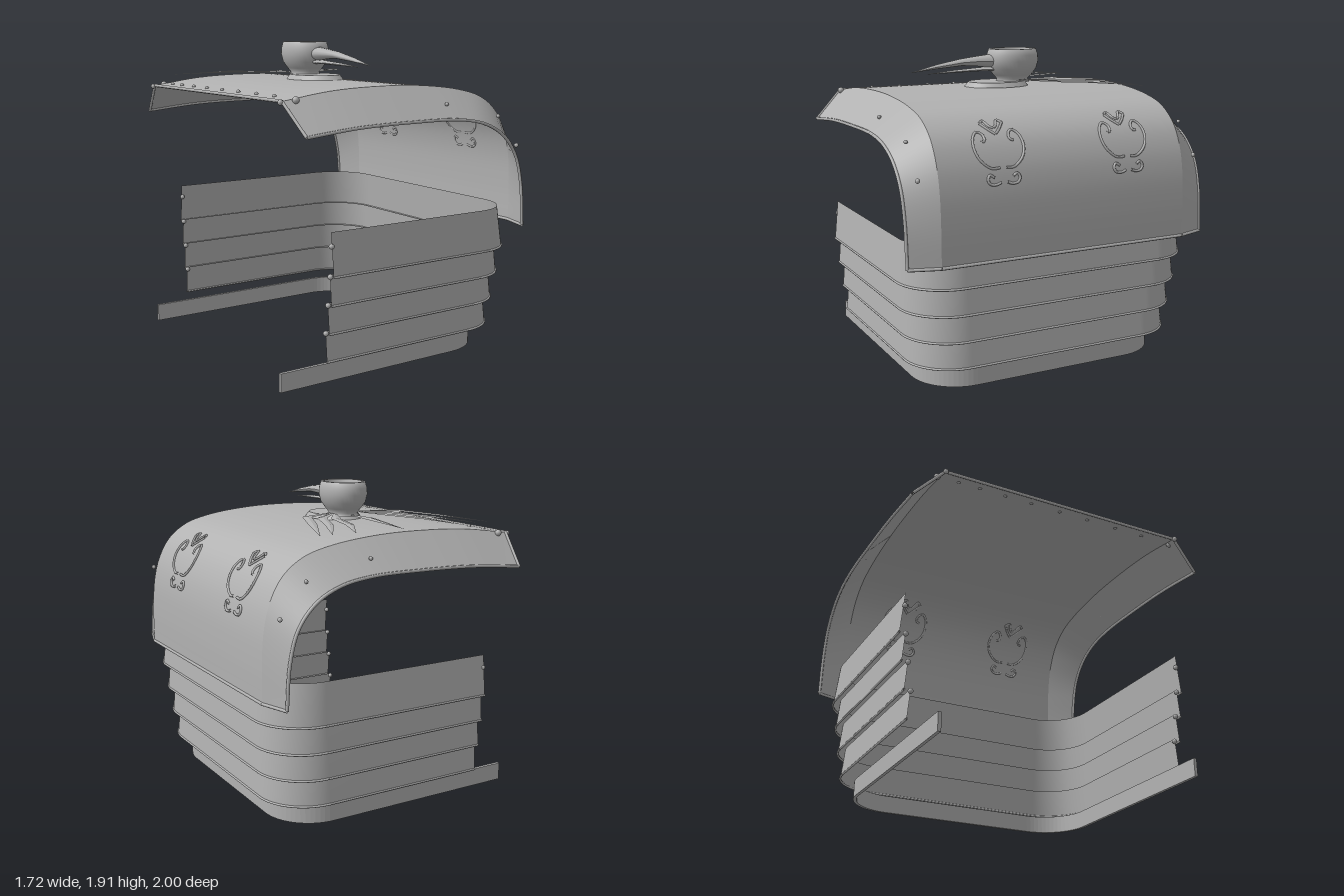
import * as THREE from 'three';

const V = (x, y, z) => new THREE.Vector3(x, y, z);
const steel = new THREE.MeshStandardMaterial({ color: 0xb2b2b2, side: THREE.DoubleSide });
steel.name = 'steel grey';

function add(parent, geometry, name) {
  const m = new THREE.Mesh(geometry, steel);
  m.name = name;
  parent.add(m);
  return m;
}

// Surface through rows of points, all rows the same length
function loft(rows) {
  const n = rows[0].length, index = [];
  for (let i = 0; i < rows.length - 1; i++)
    for (let j = 0; j < n - 1; j++) {
      const a = i * n + j, b = a + n;
      index.push(a, b, a + 1, b, b + 1, a + 1);
    }
  const g = new THREE.BufferGeometry().setFromPoints(rows.flat());
  g.setIndex(index);
  g.computeVertexNormals();
  return g;
}

const tube = (pts, r, seg = 48) =>
  new THREE.TubeGeometry(new THREE.CatmullRomCurve3(pts), seg, r, 6, false);

// Sampled cross-section of the shoulder plate
const section = (pts) =>
  new THREE.CatmullRomCurve3(pts.map(([x, y]) => V(x, y, 0))).getSpacedPoints(60);
const crown = section([[-0.835, 1.615], [-0.52, 1.658], [-0.19, 1.673], [0.11, 1.667], [0.41, 1.632],
  [0.59, 1.58], [0.715, 1.487], [0.79, 1.36], [0.83, 1.21], [0.846, 1.0], [0.846, 0.79]]);
const skirt = section([[-0.795, 1.435], [-0.447, 1.467], [-0.09, 1.477], [0.26, 1.472], [0.46, 1.437],
  [0.61, 1.36], [0.715, 1.234], [0.768, 1.056], [0.79, 0.79]]);
const atZ = (pts, z) => pts.map((p) => V(p.x, p.y, z));

// Height of a section at x, or its x at a height on the outer wall
function lookup(pts, value, key, out) {
  for (let i = pts.length - 1; i > 0; i--) {
    const a = pts[i - 1], b = pts[i];
    if ((a[key] - value) * (b[key] - value) <= 0 && a[key] !== b[key])
      return a[out] + (b[out] - a[out]) * (value - a[key]) / (b[key] - a[key]);
  }
  return pts[0][out];
}

// U-shaped plan with rounded corners, open toward -x
function uPath(x0, x1, z, r, y = 0) {
  const pts = [V(x0, y, z)];
  for (let i = 0; i <= 16; i++) {
    const a = Math.PI / 2 * (1 - i / 16);
    pts.push(V(x1 - r + r * Math.cos(a), y, z - r + r * Math.sin(a)));
  }
  return [...pts, ...pts.slice().reverse().map((p) => V(p.x, y, -p.z))];
}

function rivet(parent, x, y, z, r = 0.012) {
  add(parent, new THREE.SphereGeometry(r, 10, 8), 'rivet').position.set(x, y, z);
}

function shoulderPlate() {
  const g = new THREE.Group();
  g.name = 'shoulderPlate';
  add(g, loft([atZ(crown, -0.81), atZ(crown, 0.81)]), 'plateCrown');
  add(g, loft([atZ(crown, 0.81), atZ(skirt, 0.99)]), 'frontFlange');
  add(g, loft([atZ(skirt, -0.99), atZ(crown, -0.81)]), 'backFlange');
  // Rolled edges
  for (const s of [-1, 1]) {
    add(g, tube(atZ(skirt, s * 0.99), 0.01, 80), 'flangeRim');
    for (const k of [0, 60])
      add(g, tube([V(crown[k].x, crown[k].y, s * 0.81), V(skirt[k].x, skirt[k].y, s * 0.99)], 0.01, 1), 'cornerRim');
  }
  for (const k of [0, 60])
    add(g, tube([V(crown[k].x, crown[k].y, -0.81), V(crown[k].x, crown[k].y, 0.81)], 0.01, 1), 'sideRim');
  // Rivets along the neck edge and on the flanges
  for (const z of [-0.69, -0.55, -0.38, -0.2, 0, 0.2, 0.41, 0.61])
    rivet(g, -0.76, lookup(crown, -0.76, 'x', 'y') + 0.003, z);
  for (const s of [-1, 1]) {
    rivet(g, -0.76, 1.62, s * 0.83, 0.02);
    rivet(g, -0.845, 1.61, s * 0.81, 0.016);
    rivet(g, 0.22, 1.56, s * 0.92);
    rivet(g, 0.63, 1.47, s * 0.92);
    rivet(g, 0.79, 1.28, s * 0.92, 0.014);
  }
  return g;
}

// Scrollwork lying on the outer wall; points are [z offset, y]
function ornament(zc) {
  const g = new THREE.Group();
  g.name = 'scrollOrnament';
  const lines = [
    [[0.02, 1.315], [0.07, 1.315], [0.13, 1.36], [0.155, 1.42], [0.145, 1.48], [0.11, 1.508], [0.08, 1.49], [0.08, 1.46], [0.1, 1.455]],
    [[0.06, 1.265], [0.085, 1.28], [0.1, 1.255], [0.085, 1.23], [0.05, 1.225], [0.02, 1.235]],
    [[0, 1.49], [0.035, 1.515], [0.07, 1.545]],
    [[0.07, 1.545], [0.045, 1.557], [0.02, 1.53], [0, 1.52]],
  ];
  for (const s of [-1, 1])
    for (const line of lines)
      add(g, tube(line.map(([z, y]) => V(lookup(crown, y, 'y', 'x') + 0.003, y, zc + s * z)), 0.008, 28), 'scroll');
  return g;
}

function lames() {
  const g = new THREE.Group();
  g.name = 'armLames';
  for (let i = 0; i < 4; i++) {
    const y0 = 0.145 + i * 0.168, y1 = i === 3 ? 0.9 : y0 + 0.18;
    const x = 0.762 + i * 0.021, z = 0.89 + i * 0.022, lean = i === 3 ? 0.026 : 0.016;
    const bottom = uPath(-0.6, x, z, 0.3, y0);
    add(g, loft([uPath(-0.6, x - lean, z - lean, 0.29, y1), bottom]), 'lame');
    // Rolled lower edge, straight runs kept straight
    add(g, tube(bottom.slice(1, 18), 0.007), 'lameRim');
    add(g, tube(bottom.slice(18, 35), 0.007), 'lameRim');
    for (const k of [0, 17, 34])
      add(g, tube([bottom[k], bottom[k + 1]], 0.007, 1), 'lameRim');
    for (const s of [-1, 1])
      rivet(g, -0.597, i === 3 ? 0.82 : y1 - 0.015, s * (z - lean), 0.016);
  }
  return g;
}

function strap() {
  const outline = [...uPath(-0.86, 0.69, 0.82, 0.3), ...uPath(-0.86, 0.67, 0.8, 0.28).reverse()];
  const shape = new THREE.Shape(outline.map((p) => new THREE.Vector2(p.x, p.z)));
  const geo = new THREE.ExtrudeGeometry(shape, { depth: 0.11, bevelEnabled: false });
  geo.rotateX(Math.PI / 2).translate(0, 0.11, 0);
  return geo;
}

// Ridged blade through stations [x, y, z, half width]
function feather(stations) {
  const rows = stations.map(([x, y, z, w], i) => {
    const a = stations[Math.max(0, i - 1)], b = stations[Math.min(stations.length - 1, i + 1)];
    const d = V(b[0] - a[0], 0, b[2] - a[2]).normalize();
    return [-1, 0, 1].map((s) => V(x + s * w * d.z, y + (s ? 0 : 0.2 * w), z - s * w * d.x));
  });
  const geo = loft(rows).toNonIndexed();
  geo.computeVertexNormals();
  return geo;
}

// Tapered horn through stations [z, y, half width, half height]
const horn = (stations) => loft(stations.map(([z, y, w, h]) =>
  Array.from({ length: 15 }, (_, j) => {
    const a = -j / 14 * Math.PI * 2;
    return V(w * Math.cos(a), y + h * Math.sin(a), z);
  })));

function bird() {
  const g = new THREE.Group();
  g.name = 'birdCrest';
  g.position.x = -0.093;
  const body = add(g, new THREE.CylinderGeometry(0.145, 0.165, 0.03, 40), 'body');
  body.scale.z = 1.3;
  body.position.y = 1.688;

  // Hollow head, open at the top
  const profile = [[0.095, 1.695], [0.085, 1.715], [0.105, 1.74], [0.132, 1.78], [0.144, 1.83], [0.141, 1.87], [0.131, 1.908],
    [0.112, 1.908], [0.116, 1.85], [0.105, 1.8], [0.075, 1.76], [0, 1.745]];
  const head = add(g, new THREE.LatheGeometry(profile.map(([r, y]) => new THREE.Vector2(r, y)), 40), 'head');
  head.scale.z = 1.22;
  head.position.z = -0.117;
  for (const s of [-1, 1]) {
    const eye = add(g, new THREE.SphereGeometry(0.03, 14, 10), 'eye');
    eye.position.set(s * 0.105, 1.86, -0.07);
    eye.scale.set(0.8, 1, 1.3);
  }
  // Leaf spray inside the head
  for (const t of [-0.8, 0, 0.8]) {
    const sx = Math.sin(t), cz = Math.cos(t);
    add(g, feather([[0, 1.775, -0.06, 0.003], [sx * 0.04, 1.78, -0.06 - cz * 0.05, 0.015],
      [sx * 0.08, 1.785, -0.06 - cz * 0.1, 0]]), 'leaf');
  }

  add(g, horn([[0, 1.835, 0.058, 0.04], [0.06, 1.833, 0.054, 0.042], [0.15, 1.834, 0.043, 0.031],
    [0.25, 1.83, 0.036, 0.022], [0.42, 1.807, 0.02, 0.013], [0.595, 1.776, 0.001, 0.001]]), 'upperBeak');
  add(g, horn([[-0.01, 1.782, 0.045, 0.014], [0.1, 1.782, 0.037, 0.012], [0.3, 1.774, 0.02, 0.008],
    [0.48, 1.764, 0.001, 0.001]]), 'lowerBeak');

  // Wings and tail: bend and tip offsets for each feather
  const bends = [[0.33, -0.24], [0.26, -0.3], [0.19, -0.35]];
  const tips = { '-1': [0.63, 0.54, 0.4], 1: [0.56, 0.48, 0.327] };
  for (const s of [-1, 1])
    bends.forEach(([bx, bz], i) => {
      add(g, feather([[s * 0.1, 1.712, -0.12 - i * 0.03, 0.014], [s * bx, 1.715 - i * 0.004, bz, 0.03],
        [s * (bx + (tips[s][i] - bx) * 0.45), 1.705, bz - 0.25, 0.026],
        [s * tips[s][i], 1.685, -0.79, 0.001]]), 'wingFeather');
    });
  add(g, feather([[0, 1.705, -0.22, 0.012], [0, 1.705, -0.42, 0.037], [0, 1.685, -0.79, 0.001]]), 'tailFeather');
  return g;
}

export function createModel() {
  const model = new THREE.Group();
  model.name = 'shoulderArmour';
  model.add(shoulderPlate(), ornament(0.415), ornament(-0.415), lames(), bird());
  add(model, strap(), 'armStrap');
  return model;
}
